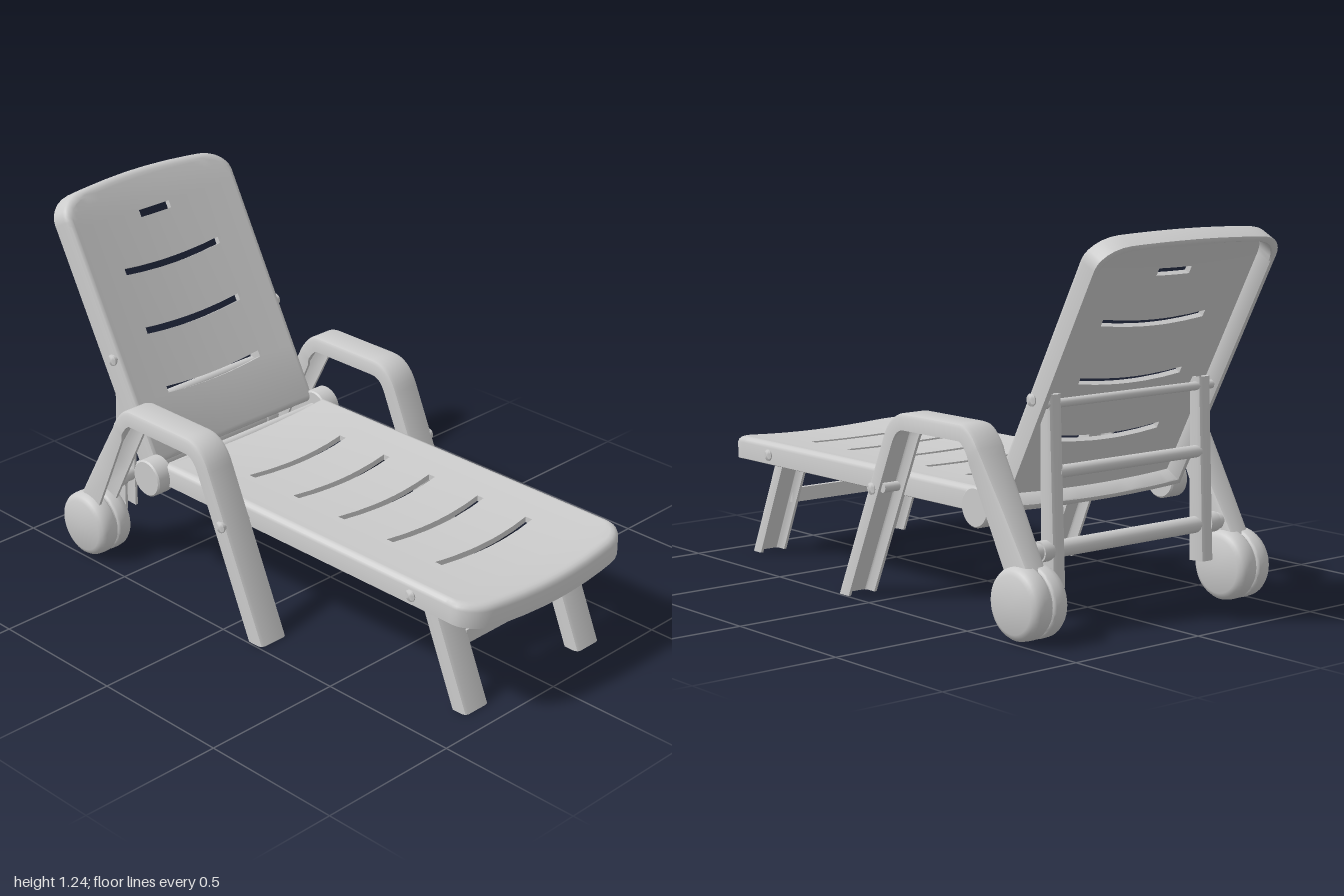
import * as THREE from 'three';
import { toCreasedNormals } from 'three/addons/utils/BufferGeometryUtils.js';

const material = new THREE.MeshStandardMaterial({ color: 0xcccccc, side: THREE.DoubleSide });

function addMesh(parent, name, geometry) {
  const mesh = new THREE.Mesh(geometry, material);
  mesh.name = name;
  parent.add(mesh);
  return mesh;
}

// Collects quads and turns them into a geometry with creased normals
function quadBuilder() {
  const pos = [];
  return {
    quad: (a, b, c, d) => { for (const p of [a, b, c, a, c, d]) pos.push(...p); },
    build: (angle = 0.6) => {
      const g = new THREE.BufferGeometry();
      g.setAttribute('position', new THREE.Float32BufferAttribute(pos, 3));
      return toCreasedNormals(g, angle);
    },
  };
}

// Dished, hollow panel with curved slots: hinge edge at z = 0, rounded end at z = length
function panelGeometry(length, slots, bow) {
  const W = 0.38, IN = 0.02, PLATE = 0.02;
  const half = [0.036, 0.072, 0.15, 0.227, 0.28, 0.31, 0.335, 0.355, 0.37, 0.377, W];
  const cols = [...half.map((x) => -x).reverse(), 0, ...half];
  const end = (x) => {
    const c = Math.max(0, (Math.abs(x) - 0.28) / 0.1);
    return length - 0.03 * (x / W) ** 2 - 0.07 * (1 - Math.sqrt(Math.max(0, 1 - c * c)));
  };
  // Rows across the panel; each slot adds its two edges
  const rows = [() => 0];
  const slotRow = {};
  for (const [s, width, hw] of slots) {
    slotRow[rows.length] = hw;
    for (const side of [-0.5, 0.5]) {
      rows.push((x) => s + side * width + bow * Math.max(0, 1 - (x / 0.227) ** 2) * (hw / 0.227));
    }
  }
  const last = length - 0.13;
  for (const t of [0, 0.25, 0.5, 0.75, 1]) rows.push((x) => last + (end(x) - last) * t);

  const point = (i, j, inset, dy) => {
    const c = cols[i];
    const z = Math.min(Math.max(rows[j](c), inset), end(c) - inset);
    const lip = 0.008 * Math.max(0, (z - last) / 0.13) ** 2;
    return [c * (1 - inset / W), dy - 0.018 * (1 - (c / W) ** 2) - lip, z];
  };
  const top = (i, j) => point(i, j, IN, 0);
  const low = (i, j) => point(i, j, IN, -PLATE);
  const { quad, build } = quadBuilder();
  const isOpen = (i, j) => slotRow[j] !== undefined &&
    Math.max(Math.abs(cols[i]), Math.abs(cols[i + 1])) <= slotRow[j] + 1e-6;
  const nc = cols.length - 1, nr = rows.length - 1;
  for (let i = 0; i < nc; i++) {
    for (let j = 0; j < nr; j++) {
      const ring = [[i, j], [i, j + 1], [i + 1, j + 1], [i + 1, j]];
      if (!isOpen(i, j)) {
        quad(...ring.map((p) => top(...p)));
        quad(...ring.map((p) => low(...p)).reverse());
        continue;
      }
      // Slot walls
      const wall = (p, q) => quad(low(...p), low(...q), top(...q), top(...p));
      wall(ring[0], ring[3]);
      wall(ring[2], ring[1]);
      if (!isOpen(i - 1, j)) wall(ring[1], ring[0]);
      if (!isOpen(i + 1, j)) wall(ring[3], ring[2]);
    }
  }
  // Rounded skirt around the outline
  const outline = [];
  for (let j = 0; j < nr; j++) outline.push([nc, j]);
  for (let i = nc; i > 0; i--) outline.push([i, nr]);
  for (let j = nr; j > 0; j--) outline.push([0, j]);
  for (let i = 0; i < nc; i++) outline.push([i, 0]);
  const profile = [[IN, 0], [0.01, -0.003], [0.003, -0.01], [0, -0.02], [0, -0.076],
    [0.003, -0.078], [0.017, -0.078], [IN, -0.074], [IN, -PLATE]];
  outline.forEach((a, k) => {
    const b = outline[(k + 1) % outline.length];
    for (let p = 0; p < profile.length - 1; p++) {
      quad(point(...a, ...profile[p]), point(...b, ...profile[p]),
        point(...b, ...profile[p + 1]), point(...a, ...profile[p + 1]));
    }
  });
  return build(0.7);
}

// U-shaped channel swept along a side path of [z, y]; size(t) gives [width, depth]
function channelGeometry(path, size) {
  const { quad, build } = quadBuilder();
  const rings = path.map(([z, y], i) => {
    const a = path[Math.max(0, i - 1)], b = path[Math.min(path.length - 1, i + 1)];
    const len = Math.hypot(b[0] - a[0], b[1] - a[1]);
    let nz = (b[1] - a[1]) / len, ny = -(b[0] - a[0]) / len;
    if (y === 0) { nz = 1 / nz; ny = 0; } // feet are cut level with the floor
    const [width, D] = size(i / (path.length - 1));
    const w = width / 2;
    const section = [[-w, D], [-w, 0.014], [-w + 0.005, 0.004], [-w + 0.016, 0]];
    const inner = [[-w + 0.02, 0.01], [-w + 0.014, 0.012], [-w + 0.01, 0.018], [-w + 0.01, D]];
    const mirror = (list) => list.map(([x, d]) => [-x, d]).reverse();
    return [...section, ...mirror(section), ...mirror(inner), ...inner]
      .map(([x, d]) => [x, y - ny * d, z - nz * d]);
  });
  const n = rings[0].length;
  for (let r = 0; r < rings.length - 1; r++) {
    for (let k = 0; k < n; k++) {
      const m = (k + 1) % n;
      quad(rings[r][k], rings[r][m], rings[r + 1][m], rings[r + 1][k]);
    }
  }
  const first = rings[0], final = rings[rings.length - 1];
  for (let i = 0; i < n / 2 - 1; i++) {
    const ids = [i, n - 1 - i, n - 2 - i, i + 1];
    quad(...ids.map((k) => first[k]));
    quad(...ids.map((k) => final[k]).reverse());
  }
  return build(0.65);
}

function bend(a, corner, b) {
  const v = (p) => new THREE.Vector2(...p);
  return new THREE.QuadraticBezierCurve(v(a), v(corner), v(b)).getPoints(8).map((p) => [p.x, p.y]);
}

function latheX(profile, segments = 40) {
  const g = new THREE.LatheGeometry(profile.map(([r, h]) => new THREE.Vector2(r, h)), segments);
  return toCreasedNormals(g.rotateZ(-Math.PI / 2), 0.7);
}

export function createModel() {
  const model = new THREE.Group();
  model.name = 'sunLounger';

  // Bed and reclined backrest
  const bedSlots = [0.265, 0.475, 0.685, 0.903, 1.113].map((s) => [s, 0.027, 0.227]);
  addMesh(model, 'bed', panelGeometry(1.42, bedSlots, 0.017)).position.set(0, 0.42, -0.42);
  const backSlots = [0.223, 0.436, 0.648].map((s) => [s, 0.023, 0.227]);
  const back = addMesh(model, 'backrest',
    panelGeometry(0.975, [...backSlots, [0.825, 0.026, 0.072]], -0.012));
  back.position.set(0, 0.4, -0.46);
  back.rotation.set(1.082, Math.PI, 0);

  // Cross rods
  const rod = (name, y, z, r, halfLength) => {
    const g = new THREE.CylinderGeometry(r, r, halfLength * 2, 20).rotateZ(Math.PI / 2);
    addMesh(model, name, g).position.set(0, y, z);
  };
  rod('frontLegRod', 0.372, 0.73, 0.016, 0.37);
  rod('armRod', 0.372, -0.01, 0.016, 0.45);
  rod('hingeRod', 0.37, -0.45, 0.02, 0.38);
  rod('propTopRod', 0.71, -0.685, 0.014, 0.37);
  rod('propMiddleRod', 0.5, -0.69, 0.02, 0.3);
  rod('rearRod', 0.262, -0.69, 0.027, 0.4);
  addMesh(model, 'frontLegBrace', new THREE.BoxGeometry(0.45, 0.05, 0.018)).position.set(0, 0.203, 0.818);

  const armPath = [[0.177, 0], ...bend([-0.064, 0.55], [-0.1, 0.638], [-0.18, 0.638]),
    ...bend([-0.45, 0.638], [-0.505, 0.638], [-0.55, 0.55]), [-0.65, 0.39], [-0.765, 0.2]];
  const armSize = (t) => {
    const k = Math.max(0, (t - 0.88) / 0.12);
    return [0.115 - 0.035 * k, 0.054 + 0.045 * k];
  };
  const wheelHalf = [[0, -0.07], [0.09, -0.07], [0.105, -0.062], [0.113, -0.05], [0.115, -0.035],
    [0.115, -0.012], [0.112, -0.006], [0.106, -0.003]];
  const wheelProfile = [...wheelHalf, ...wheelHalf.map(([r, h]) => [r, -h]).reverse()];
  const discProfile = [[0, -0.035], [0.06, -0.035], [0.065, -0.03], [0.065, 0.03], [0.06, 0.035], [0, 0.035]];

  for (const side of [-1, 1]) {
    const tag = side > 0 ? 'left' : 'right';
    const add = (name, g, x, y = 0, z = 0) =>
      addMesh(model, tag + name, g).position.set(side * x, y, z);

    add('FrontLeg', channelGeometry([[0.92, 0], [0.764, 0.37]], () => [0.11, 0.05]), 0.27);
    add('Armrest', channelGeometry(armPath, armSize), 0.436);
    add('Prop', channelGeometry([[-0.7, 0.74], [-0.725, 0.145]], (t) => [0.055, 0.04 + 0.018 * t]), 0.317);
    add('Wheel', latheX(wheelProfile), 0.436, 0.12, -0.715);
    add('HingeDisc', latheX(discProfile, 28), 0.395, 0.37, -0.45);
    add('RodCollar', latheX([[0, -0.02], [0.033, -0.02], [0.033, 0.02], [0, 0.02]], 20), 0.355, 0.262, -0.69);

    // Round bolt heads
    for (const [name, x, y, z] of [['FrontBolt', 0.38, 0.375, 0.73], ['ArmBolt', 0.492, 0.375, -0.01],
      ['BackBolt', 0.38, 0.725, -0.662]]) {
      const head = [[0, -0.008], [0.02, -0.008], [0.02, 0.004], [0.014, 0.008], [0, 0.009]];
      const g = latheX(head.map(([r, h]) => [r, h]), 16);
      if (side < 0) g.rotateY(Math.PI);
      add(name, g, x, y, z);
    }
  }
  return model;
}
